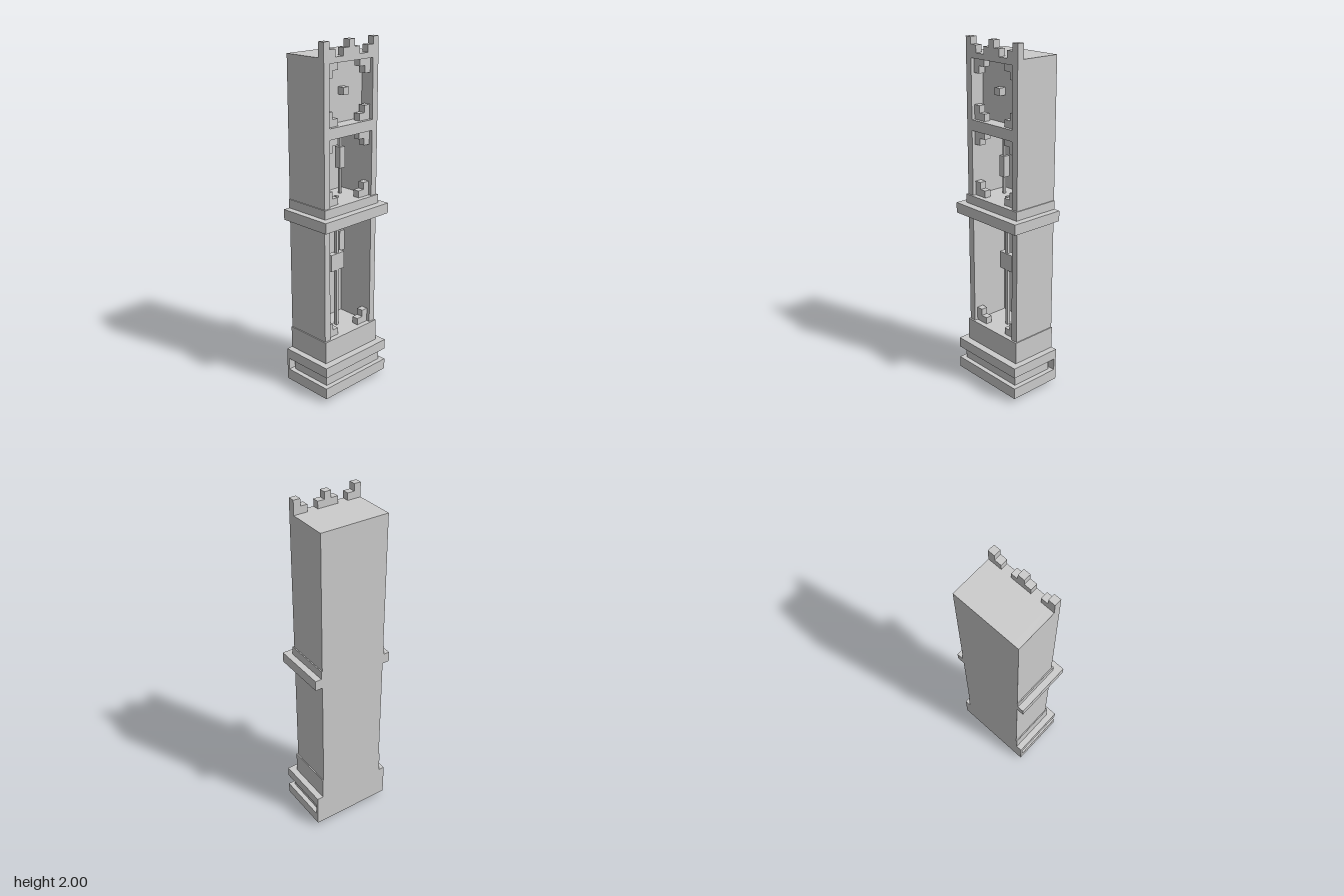
import * as THREE from 'three';

const grey = new THREE.MeshStandardMaterial({ color: 0xcccccc, flatShading: true });

export function createModel() {
  const clock = new THREE.Group();
  clock.name = 'longcaseClock';

  // Box given by its extents on each axis
  function box(name, x0, x1, y0, y1, z0, z1) {
    const mesh = new THREE.Mesh(new THREE.BoxGeometry(x1 - x0, y1 - y0, z1 - z0), grey);
    mesh.position.set((x0 + x1) / 2, (y0 + y1) / 2, (z0 + z1) / 2);
    mesh.name = name;
    clock.add(mesh);
    return mesh;
  }
  // Outline in (across, up), extruded towards the dial side (+x)
  function plate(name, shape, x0, x1) {
    const geo = new THREE.ExtrudeGeometry(shape, { depth: x1 - x0, bevelEnabled: false });
    geo.rotateY(Math.PI / 2);
    const mesh = new THREE.Mesh(geo, grey);
    mesh.position.x = x0;
    mesh.name = name;
    clock.add(mesh);
  }
  const polygon = (pts) => new THREE.Shape(pts.map(([a, b]) => new THREE.Vector2(a, b)));

  const back = -0.165, half = 0.2, open = 0.16;

  // Front frame with stepped crest and three openings
  const crest = [[0.2, 2], [0.16, 2], [0.16, 1.96], [0.12, 1.96], [0.12, 1.92],
    [0.06, 1.92], [0.06, 1.96], [0.02, 1.96], [0.02, 2]];
  const mirrored = crest.map(([a, b]) => [-a, b]).reverse();
  const frame = polygon([[-half, 0.22], [half, 0.22], ...crest, ...mirrored]);
  for (const [y0, y1] of [[0.35, 1.02], [1.13, 1.5], [1.56, 1.89]]) {
    frame.holes.push(polygon([[-open, y0], [-open, y1], [open, y1], [open, y0]]));
  }
  plate('frontFrame', frame, 0.07, 0.11);

  // Case behind the frame
  for (const s of [-1, 1]) {
    box('sideWall', back, 0.07, 0.22, 1.92, Math.min(s * open, s * half), Math.max(s * open, s * half));
  }
  box('backWall', back, -0.125, 0.22, 1.92, -open, open);
  box('caseTop', -0.125, 0.07, 1.89, 1.92, -open, open);
  box('dialPanel', -0.125, 0.03, 1.5, 1.89, -open, open);
  box('dialShelf', 0.03, 0.07, 1.5, 1.56, -open, open);
  box('dialHub', 0.03, 0.07, 1.71, 1.75, -0.02, 0.02);

  // Mouldings
  box('lowerSkirting', back, 0.12, 0.22, 0.35, -0.206, 0.206);
  box('waistLedge', back, 0.163, 1.02, 1.08, -0.243, 0.243);
  box('waistSkirting', back, 0.12, 1.08, 1.13, -0.206, 0.206);

  // Plinth with a groove around it and a slot near the back
  box('plinthBottom', back, 0.163, 0.025, 0.09, -0.243, 0.243);
  box('plinthTop', back, 0.163, 0.16, 0.22, -0.243, 0.243);
  box('plinthCore', -0.13, 0.135, 0.09, 0.16, -0.215, 0.215);
  box('plinthBack', back, -0.15, 0.09, 0.16, -0.243, 0.243);
  box('slotFloor', -0.15, -0.13, 0.09, 0.16, -0.19, 0.19);
  box('foot', -0.003, 0.033, 0, 0.025, -0.07, 0.07);

  // Stepped corner ornaments; up = 1 stands on a sill, up = -1 hangs from a lintel
  for (const [y, up] of [[0.35, 1], [1.13, 1], [1.5, -1], [1.56, 1], [1.89, -1]]) {
    for (const s of [-1, 1]) {
      const steps = [[0.16, 0], [0.08, 0], [0.08, 0.04], [0.12, 0.04], [0.12, 0.08], [0.16, 0.08]];
      plate('cornerOrnament', polygon(steps.map(([a, b]) => [s * a, y + up * b])), 0.05, 0.09);
    }
  }

  // Pendulum
  box('pendulumRod', -0.015, 0.005, 0.35, 1.14, -0.008, 0.008);
  box('pendulumBob', -0.025, 0.01, 0.7, 0.8, -0.05, 0.05);

  // Chains and weights
  for (const [z, chainEnd, weights] of [
    [0.075, 0.92, [[1.23, 1.35], [0.92, 1.02]]],
    [-0.072, 0.79, [[1.28, 1.4], [0.79, 0.91]]],
  ]) {
    box('chain', -0.055, -0.04, chainEnd, 1.5, z - 0.007, z + 0.007);
    for (const [y0, y1] of weights) box('weight', -0.067, -0.028, y0, y1, z - 0.02, z + 0.02);
  }

  return clock;
}
